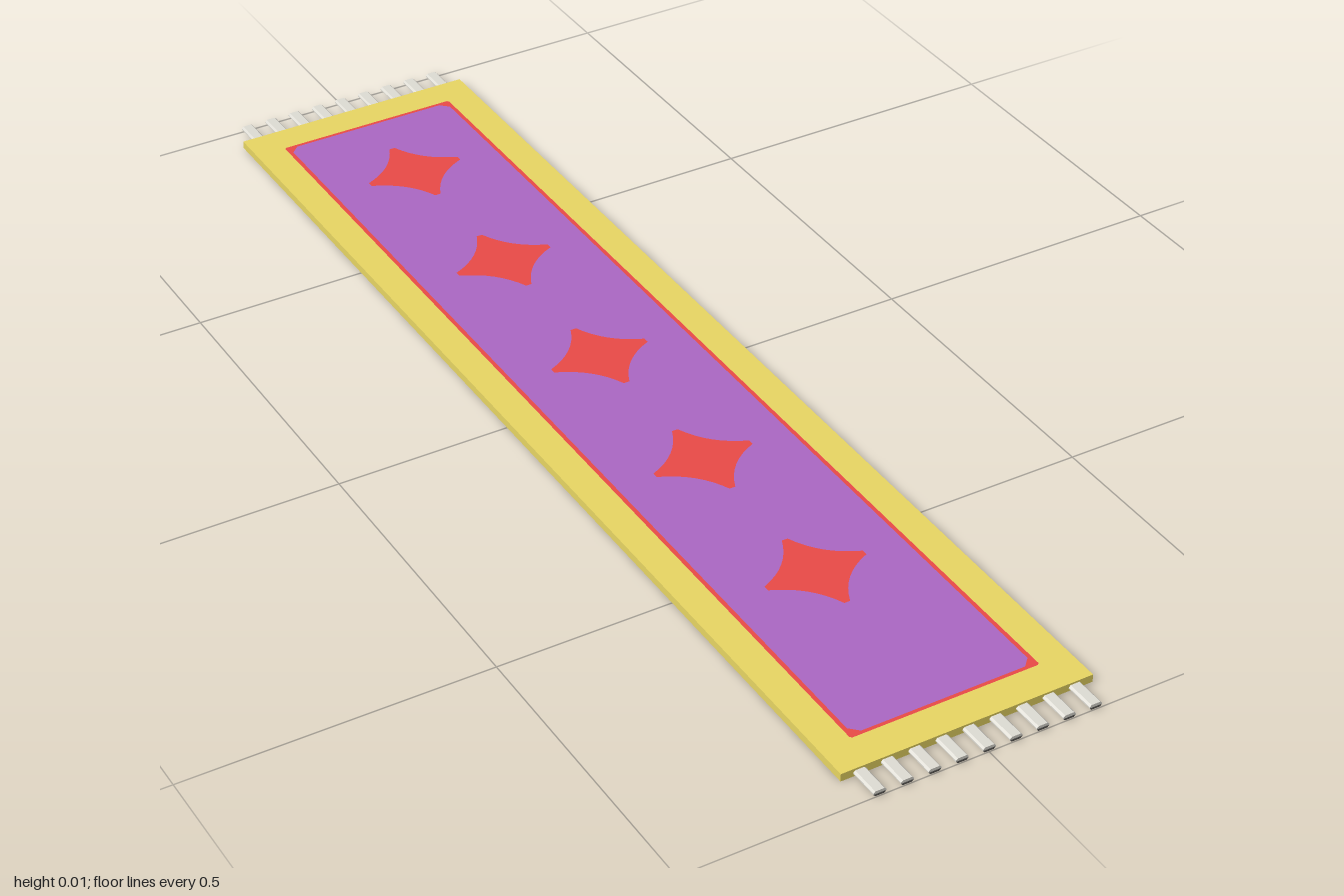
import * as THREE from 'three';

const material = (name, color) => {
  const m = new THREE.MeshStandardMaterial({ color });
  m.name = name;
  return m;
};

const polygon = (points) => new THREE.Shape(points.map(([x, y]) => new THREE.Vector2(x, y)));

// Rectangle outline with clipped corners
const panelShape = (hx, hz, cut) => polygon([
  [-hx + cut, -hz], [hx - cut, -hz], [hx, -hz + cut], [hx, hz - cut],
  [hx - cut, hz], [-hx + cut, hz], [-hx, hz - cut], [-hx, -hz + cut],
]);

// Four-pointed star with concave sides and blunt tips
function starShape(r, c, blunt) {
  const s = new THREE.Shape();
  s.moveTo(r, blunt);
  s.quadraticCurveTo(c, c, blunt, r);
  s.lineTo(-blunt, r);
  s.quadraticCurveTo(-c, c, -r, blunt);
  s.lineTo(-r, -blunt);
  s.quadraticCurveTo(-c, -c, -blunt, -r);
  s.lineTo(blunt, -r);
  s.quadraticCurveTo(c, -c, r, -blunt);
  return s;
}

export function createModel() {
  const rug = new THREE.Group();
  rug.name = 'runnerRug';

  const gold = material('gold border', 0xe6d462);
  const purple = material('purple field', 0xa966c2);
  const red = material('red pattern', 0xe84a46);
  const grey = material('pale grey fringe', 0xdcdad2);
  const darkGold = material('brown underside border', 0x927142);
  const darkPurple = material('dark purple underside field', 0x523350);
  const darkRed = material('dark red underside pattern', 0x7c2624);
  const darkGrey = material('dark grey fringe underside', 0x5c5a56);

  const base = 0.0006, top = 0.0138;
  const add = (parent, name, geometry, mat) => {
    const mesh = new THREE.Mesh(geometry, mat);
    mesh.name = name;
    parent.add(mesh);
    return mesh;
  };

  // Woven slab with a darker underside
  add(rug, 'border', new THREE.BoxGeometry(0.422, top - base, 1.9),
    [gold, gold, gold, darkGold, gold, gold]).position.y = (top + base) / 2;

  // The woven pattern shows on both faces
  for (const side of [1, -1]) {
    const face = new THREE.Group();
    face.name = side > 0 ? 'topPattern' : 'undersidePattern';
    rug.add(face);
    const pattern = side > 0 ? red : darkRed;
    const plate = (name, shape, mat, lift, z = 0) => {
      const mesh = add(face, name, new THREE.ShapeGeometry(shape, 8), mat);
      mesh.rotation.x = -side * Math.PI / 2;
      mesh.position.set(0, side > 0 ? top + lift : base - lift, z);
    };
    plate('redLine', panelShape(0.159, 0.894, 0.003), pattern, 0.0002);
    plate('field', panelShape(0.152, 0.888, 0.014), side > 0 ? purple : darkPurple, 0.0004);
    for (let i = 0; i < 5; i++) {
      plate('medallion', starShape(0.085, 0.028, 0.005), pattern, 0.0006, -0.715 + i * 0.3175);
    }
  }

  // Flattened tassels along both ends: pale above, dark below
  const length = 0.06;
  const strand = (points) => new THREE.ExtrudeGeometry(polygon(points), { depth: length, bevelEnabled: false })
    .translate(0, 0.0055, -length / 2);
  const upper = strand([[-0.0105, 0], [0.0105, 0], [0.0105, 0.002], [0.0075, 0.005], [-0.0075, 0.005], [-0.0105, 0.002]]);
  const lower = strand([[-0.0075, -0.0035], [0.0075, -0.0035], [0.0105, 0], [-0.0105, 0]]);
  for (const end of [1, -1]) {
    const fringe = new THREE.Group();
    fringe.name = end > 0 ? 'frontFringe' : 'backFringe';
    rug.add(fringe);
    for (let i = -4; i <= 4; i++) {
      add(fringe, 'tasselTop', upper, grey).position.set(i * 0.045, 0, end * 0.97);
      add(fringe, 'tasselUnderside', lower, darkGrey).position.set(i * 0.045, 0, end * 0.97);
    }
  }
  return rug;
}
